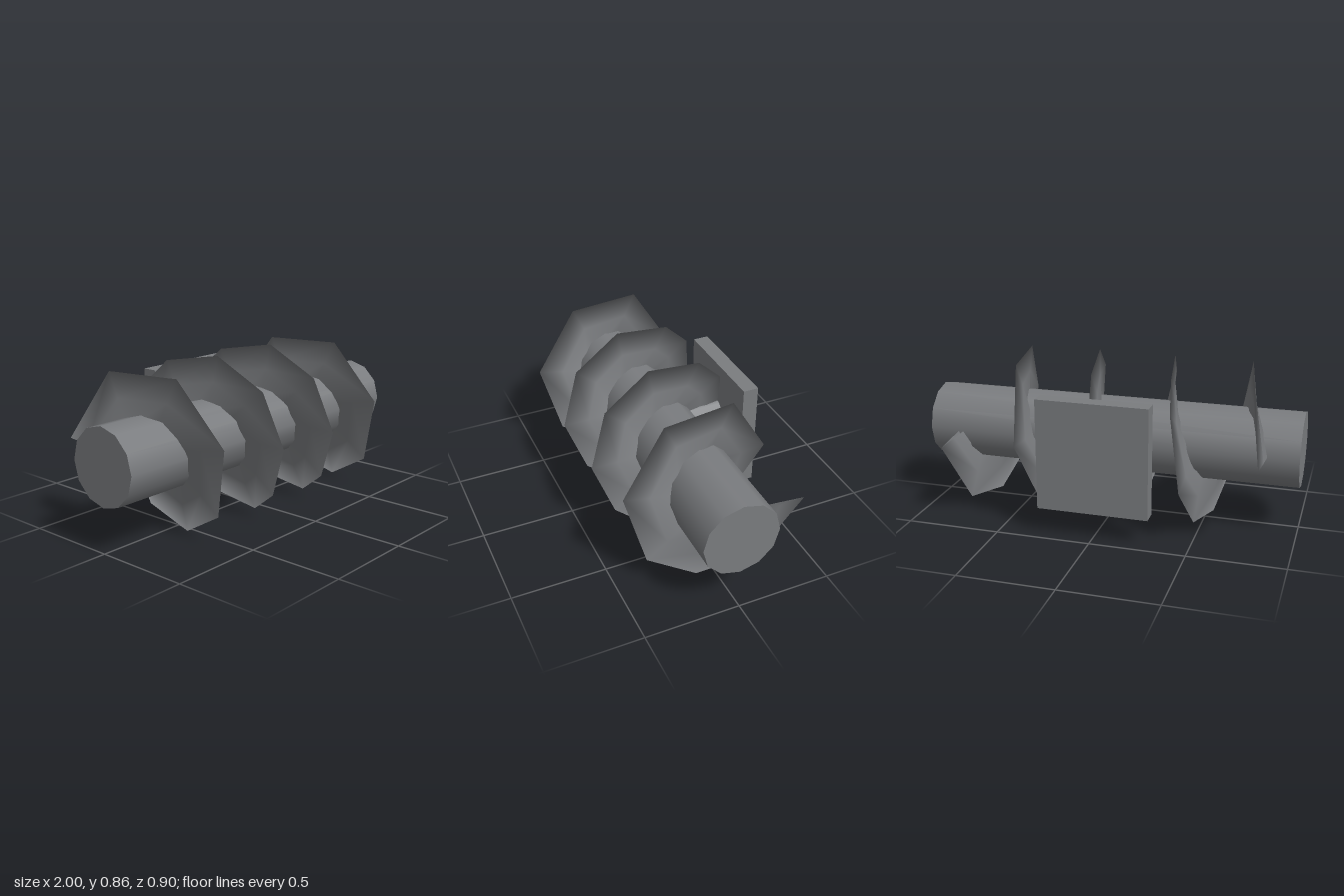
import * as THREE from 'three';

const CY = 0.433, CZ = 0.008; // shaft axis

export function createModel() {
  const group = new THREE.Group();
  const steel = new THREE.MeshStandardMaterial({ color: 0x7a7c7f });
  const add = (name, geo, x, y, z, mat = steel) => {
    const mesh = new THREE.Mesh(geo, mat);
    mesh.name = name;
    mesh.position.set(x, y, z);
    group.add(mesh);
  };

  // Central shaft along x
  const shaft = new THREE.CylinderGeometry(0.2, 0.2, 2, 12);
  shaft.rotateZ(Math.PI / 2);
  add('shaft', shaft, 0, CY, CZ);

  // Coarse screw blade: four turns, starting and ending at the back
  const outerTurn = [3, 62, 116, 169, 220, 259, 302];
  const innerTurn = [33, 59, 101, 141, 181, 220, 244, 302];
  const angles = [
    ...outerTurn, 340,
    ...innerTurn.map(a => a + 360), 700,
    ...innerTurn.map(a => a + 720),
    ...outerTurn.map(a => a + 1080), 1437,
  ];
  // Thin wedge section [radius, x offset], root to rim and back to root
  const section = [[0.15, -0.014], [0.3, -0.008], [0.44, 0], [0.3, 0.008], [0.15, 0.014]];
  const n = section.length, rim = 2;
  const pos = [], idx = [];
  angles.forEach((deg, i) => {
    const a = THREE.MathUtils.degToRad(deg);
    const x = -0.83 + 0.415 * deg / 360;
    section.forEach(([r, dx], j) => {
      pos.push(x + dx, r * Math.sin(a), -r * Math.cos(a));
      if (i && j) {
        const d = i * n + j, c = d - 1, b = d - n, e = b - 1;
        idx.push(e, b, d, e, d, c);
      }
    });
  });
  const blade = new THREE.BufferGeometry();
  blade.setAttribute('position', new THREE.Float32BufferAttribute(pos, 3));
  blade.setIndex(idx);
  blade.computeVertexNormals();
  // Rounded shading: the rim points straight outward
  angles.forEach((deg, i) => {
    const a = THREE.MathUtils.degToRad(deg);
    blade.attributes.normal.setXYZ(i * n + rim, 0, Math.sin(a), -Math.cos(a));
  });
  const bladeSteel = steel.clone();
  bladeSteel.side = THREE.DoubleSide;
  add('screwBlade', blade, 0, CY, CZ, bladeSteel);

  // Mounting stem and square back plate
  const stem = new THREE.CylinderGeometry(0.073, 0.073, 0.25, 12);
  stem.rotateX(Math.PI / 2);
  add('mountStem', stem, 0, CY, -0.265);
  add('mountPlate', new THREE.BoxGeometry(0.585, 0.585, 0.083), 0, CY, -0.407);

  return group;
}
